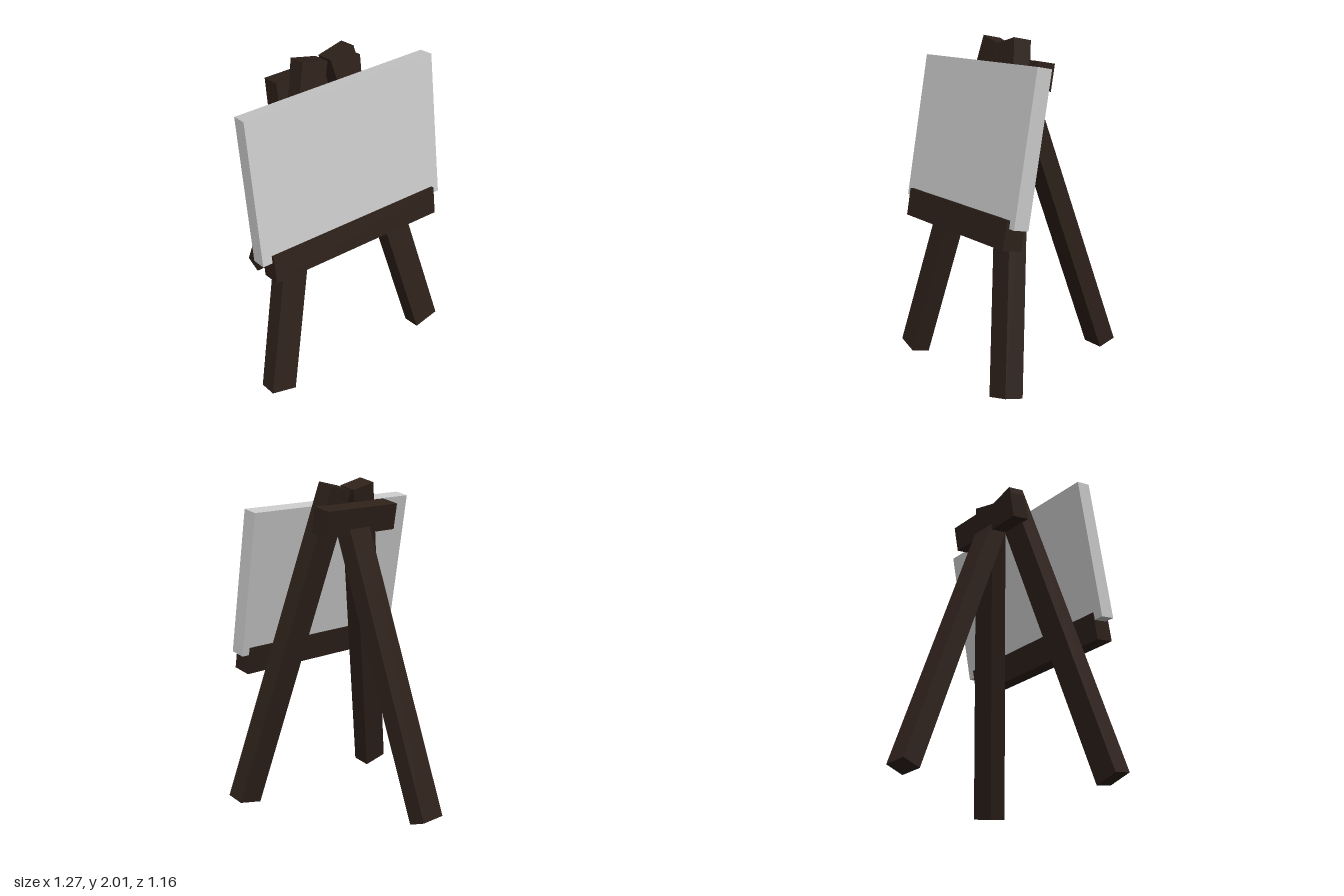
import * as THREE from 'three';

export function createModel() {
  const easel = new THREE.Group();
  easel.name = 'easel';
  const wood = new THREE.MeshStandardMaterial({ color: 0x2e211a });
  const grey = new THREE.MeshStandardMaterial({ color: 0xcccccc });

  // A straight plank: size, centre, lean about x, then roll about z
  function plank(name, size, position, lean, roll = 0, material = wood) {
    const mesh = new THREE.Mesh(new THREE.BoxGeometry(...size), material);
    mesh.name = name;
    mesh.position.set(...position);
    mesh.rotation.set(lean, 0, roll);
    easel.add(mesh);
  }

  const lean = -0.18; // front frame leans back

  // Splayed front legs, nearly meeting at the top
  for (const side of [1, -1]) {
    plank(side > 0 ? 'frontLegLeft' : 'frontLegRight',
      [0.165, 2.037, 0.115], [side * 0.3225, 1.005, 0.347], lean, side * 0.23);
  }

  // Rear prop leg and the block it hangs from
  plank('backLeg', [0.165, 1.818, 0.117], [0.012, 0.888, -0.21], 0.354);
  plank('topBlock', [0.57, 0.162, 0.12], [0, 1.788, 0.092], -0.172);

  // Ledge and the canvas resting in it
  plank('ledge', [1.15, 0.17, 0.12], [0, 0.957, 0.48], -0.172);
  plank('canvas', [1.262, 0.887, 0.094], [-0.006, 1.43, 0.39], -0.172, 0, grey);

  return easel;
}
